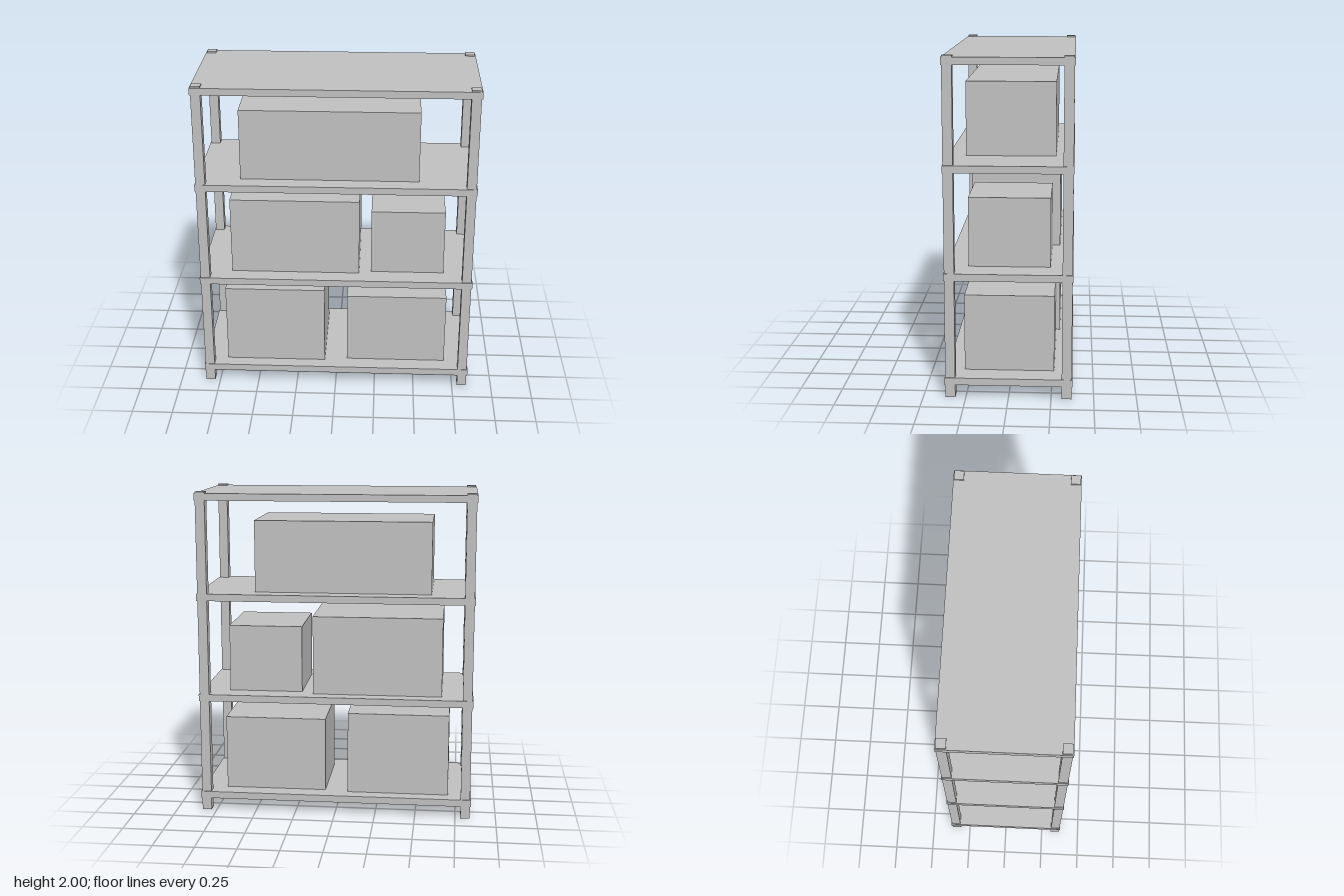
import * as THREE from 'three';

export function createModel() {
  const group = new THREE.Group();
  const grey = new THREE.MeshStandardMaterial({ color: 0xc0c0c0 });
  grey.name = 'light grey';

  // Box from its minimum and maximum on each axis
  function addBox(name, [x0, x1], [y0, y1], [z0, z1]) {
    const mesh = new THREE.Mesh(new THREE.BoxGeometry(x1 - x0, y1 - y0, z1 - z0), grey);
    mesh.position.set((x0 + x1) / 2, (y0 + y1) / 2, (z0 + z1) / 2);
    mesh.name = name;
    group.add(mesh);
  }

  // Corner posts, slightly inside the shelf edges
  for (const sx of [-1, 1]) {
    for (const sz of [-1, 1]) {
      const x = sx * 0.812, z = sz * 0.341, h = 0.029;
      const name = (sz > 0 ? 'front' : 'back') + (sx > 0 ? 'Left' : 'Right') + 'Post';
      addBox(name, [x - h, x + h], [0, 2], [z - h, z + h]);
    }
  }

  // Shelves, given by the height of their top faces
  const shelfTops = [0.12, 0.751, 1.382, 1.991];
  shelfTops.forEach((top, i) => {
    addBox('shelf' + (i + 1), [-0.847, 0.847], [top - 0.043, top], [-0.374, 0.374]);
  });

  // Stored boxes: shelf index, x range, top height, z range
  const boxes = [
    ['lowerRightBox', 0, [-0.703, -0.074], 0.631, [-0.288, 0.29]],
    ['lowerLeftBox', 0, [0.069, 0.698], 0.582, [-0.265, 0.268]],
    ['middleRightBox', 1, [-0.655, 0.143], 1.239, [-0.288, 0.268]],
    ['middleLeftBox', 1, [0.217, 0.672], 1.165, [-0.24, 0.243]],
    ['upperBox', 2, [-0.582, 0.502], 1.822, [-0.265, 0.268]],
  ];
  for (const [name, shelf, xs, top, zs] of boxes) {
    addBox(name, xs, [shelfTops[shelf], top], zs);
  }

  return group;
}
